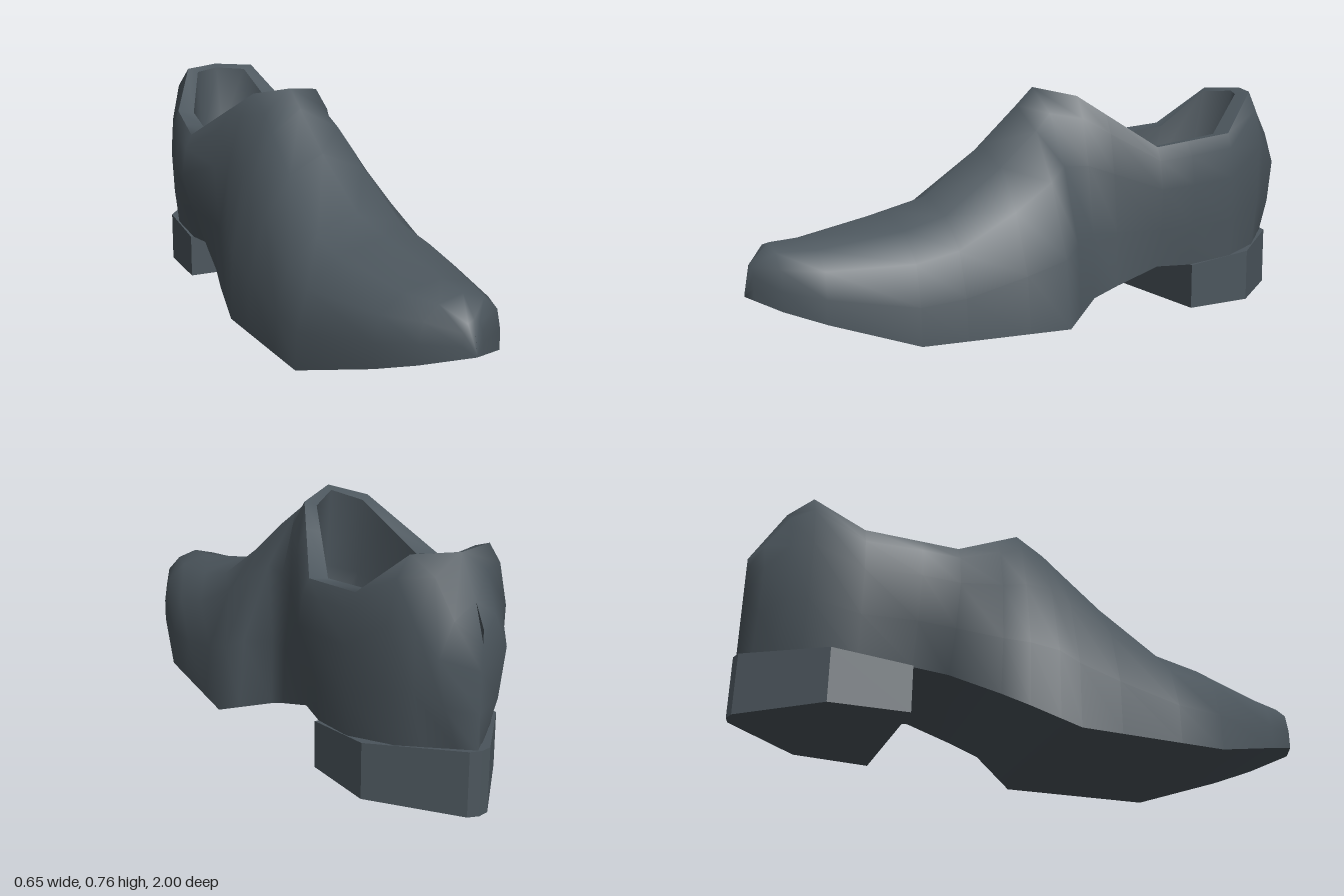
import * as THREE from 'three';
import { mergeVertices } from 'three/addons/utils/BufferGeometryUtils.js';

const leather = new THREE.MeshStandardMaterial({ color: 0x4c565d, side: THREE.DoubleSide });
leather.name = 'slate leather';

const lerp = THREE.MathUtils.lerp;

// A measure along the shoe: straight runs between [z, value] points, toe to heel
function along(...points) {
  return (z) => {
    let i = 1;
    while (i < points.length - 1 && z < points[i][0]) i++;
    const [z0, v0] = points[i - 1], [z1, v1] = points[i];
    return lerp(v0, v1, THREE.MathUtils.clamp((z - z0) / (z1 - z0), 0, 1));
  };
}

// Side profile: sole edge and top line
const soleY = along([1, 0.165], [0.8, 0.095], [0.53, 0.011], [0.03, 0.011], [-0.36, 0.153], [-0.67, 0.15], [-0.99, 0.19]);
const topY = along([1, 0.175], [0.98, 0.27], [0.92, 0.327], [0.73, 0.34], [0.38, 0.425], [0.17, 0.58], [-0.035, 0.765],
  [-0.13, 0.74], [-0.38, 0.565], [-0.67, 0.6], [-0.82, 0.735], [-0.88, 0.74], [-0.99, 0.55]);

// Plan: sole outline, bulge of the sides beyond it, and the opening (each a half width and a centre)
const soleHalf = along([1, 0], [0.92, 0.135], [0.8, 0.2], [0.53, 0.298], [0.03, 0.32], [-0.13, 0.247],
  [-0.38, 0.22], [-0.5, 0.24], [-0.75, 0.235], [-0.99, 0]);
const soleMid = along([1, 0.02], [0.53, -0.012], [0.03, 0.006], [-0.13, -0.04], [-0.38, -0.01], [-0.88, 0]);
const bulge = along([0.8, 0], [0.03, -0.03], [-0.13, -0.005], [-0.22, 0.005], [-0.38, 0.067], [-0.67, 0.02],
  [-0.85, 0.055], [-0.95, 0.085], [-0.99, 0]);
const bulgeShift = along([0.53, 0], [0.03, -0.015], [-0.13, -0.005], [-0.38, -0.035], [-0.67, -0.008], [-0.85, 0]);
const topHalf = along([-0.035, 0], [-0.13, 0.118], [-0.38, 0.245], [-0.67, 0.222], [-0.85, 0.115], [-0.88, 0]);
const topMid = along([0.8, 0.02], [-0.035, -0.06], [-0.13, -0.037], [-0.38, -0.045], [-0.67, -0.012], [-0.88, 0]);
const roundness = along([0.53, 1], [0.17, 0.75], [-0.13, 0.5], [-0.38, 0.95], [-0.67, 1], [-0.85, 0.8], [-0.95, 1]);

const rimZ = [-0.035, -0.13, -0.22, -0.38, -0.5, -0.67, -0.82, -0.88];
const stationZ = [1, 0.98, 0.92, 0.8, 0.53, 0.38, 0.17, 0.03, ...rimZ, -0.95, -0.99];

// One flank of the cross-section at z, from sole edge to top; dir is -1 or 1 in x
function flank(z, dir) {
  const sole = soleMid(z) + dir * soleHalf(z);
  const side = sole + bulgeShift(z) + dir * bulge(z);
  const top = topMid(z) + dir * topHalf(z);
  const round = roundness(z);
  const y = (t) => lerp(soleY(z), topY(z), t);
  return [
    [sole, y(0), z],
    [lerp(sole, side, 0.6), y(0.32), z],
    [lerp(side, top, lerp(0.5, 0.1, round)), y(0.66), z],
    [lerp(side, top, lerp(0.8, 0.45, round)), y(0.89), z],
    [top, y(1), z],
  ];
}

const section = (z) => [...flank(z, -1), ...flank(z, 1).reverse()];

// Skin between rows of points, leaving out the quads in column `gap`
function skin(name, rows, gap = -1) {
  const n = rows[0].length, index = [];
  for (let i = 0; i < rows.length - 1; i++) {
    for (let j = 0; j < n - 1; j++) {
      if (j === gap) continue;
      const a = i * n + j, b = a + 1, c = b + n, d = a + n;
      index.push(a, b, c, a, c, d);
    }
  }
  let geometry = new THREE.BufferGeometry();
  geometry.setAttribute('position', new THREE.Float32BufferAttribute(rows.flat(2), 3));
  geometry.setIndex(index);
  geometry = mergeVertices(geometry, 1e-4);
  geometry.computeVertexNormals();
  const mesh = new THREE.Mesh(geometry, leather);
  mesh.name = name;
  return mesh;
}

export function createModel() {
  const shoe = new THREE.Group();
  shoe.name = 'shoe';

  // Upper: both flanks of every station, open along the top between the rim edges
  const sections = stationZ.map(section);
  shoe.add(skin('upper', sections, 4));

  // Sole: closes the underside
  shoe.add(skin('sole', sections.map((p) => [p[9], p[0]])));

  // Opening: rim loop, then smaller loops for the lip and the bowl-shaped lining
  const rimSections = rimZ.map(section);
  const rim = [...rimSections.map((p) => p[5]), ...rimSections.map((p) => p[4]).reverse()];
  rim.push(rim[0]);
  const cx = -0.03, cz = -0.46, floorY = 0.21;
  const inset = (sx, sz, drop, forward = 0) => rim.map(([x, y, z]) => [
    cx + (x - cx) * sx, lerp(y, floorY, drop), cz + forward + (z - cz) * sz,
  ]);
  const lip = inset(0.73, 0.92, 0.02);
  shoe.add(skin('rim', [rim, lip]));
  shoe.add(skin('lining', [lip, inset(0.76, 0.9, 0.5, 0.04), inset(0.7, 0.84, 1, 0.09), inset(0, 0.5, 1, 0.09)]));

  // Heel block: tapering to the back, its top rising to meet the upper
  const half = [[0.252, -0.5], [0.238, -0.75], [0.035, -0.99]];
  const outline = [...half, [0, -1], ...half.map(([x, z]) => [-x, z]).reverse()];
  const shape = new THREE.Shape(outline.map(([x, z]) => new THREE.Vector2(x - 0.006, -z)));
  const block = new THREE.ExtrudeGeometry(shape, { depth: 1, bevelEnabled: false });
  block.rotateX(-Math.PI / 2);
  const pos = block.attributes.position;
  for (let i = 0; i < pos.count; i++) {
    if (pos.getY(i) > 0.5) pos.setY(i, lerp(0.152, 0.2, (-0.5 - pos.getZ(i)) / 0.5));
  }
  block.computeVertexNormals();
  const heel = new THREE.Mesh(block, leather);
  heel.name = 'heel';
  shoe.add(heel);

  return shoe;
}
